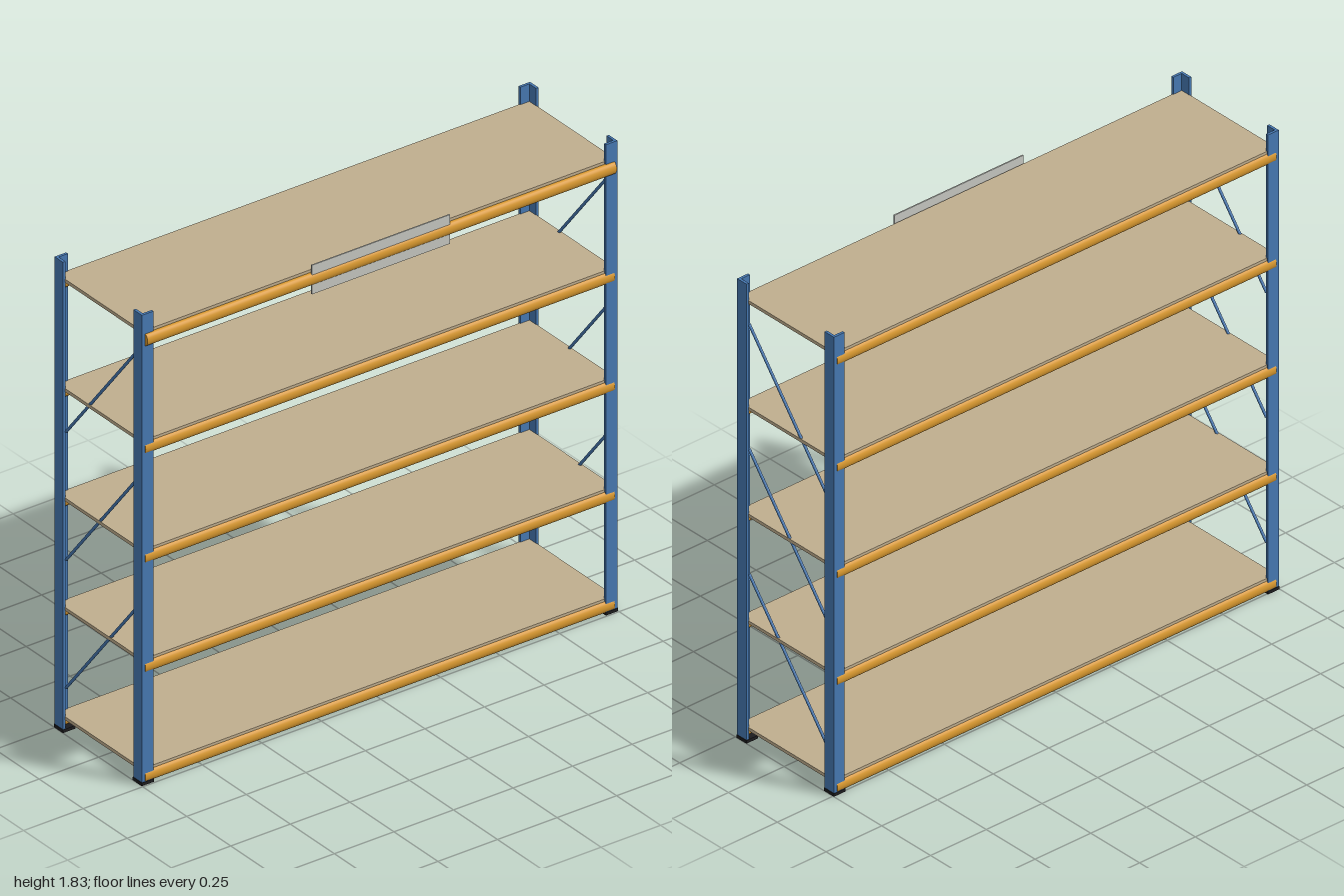
import * as THREE from 'three';

export function createModel() {
  const group = new THREE.Group();
  group.name = 'shelvingRack';

  const mat = (name, color, side = THREE.FrontSide) => {
    const m = new THREE.MeshStandardMaterial({ color, side });
    m.name = name;
    return m;
  };
  const blue = mat('blue steel', 0x4779b3);
  const orange = mat('orange steel', 0xd8982f);
  const board = mat('beige board', 0xc0ae8e);
  const grey = mat('grey sign', 0xc6c8c2);
  const black = mat('black plastic', 0x1c1c1e);

  const add = (name, geo, material, parent = group) => {
    const mesh = new THREE.Mesh(geo, material);
    mesh.name = name;
    parent.add(mesh);
    return mesh;
  };
  // Box given by its minimum and maximum on each axis
  const box = (name, [x0, x1], [y0, y1], [z0, z1], material, parent) => {
    const geo = new THREE.BoxGeometry(Math.abs(x1 - x0), y1 - y0, Math.abs(z1 - z0));
    geo.translate((x0 + x1) / 2, (y0 + y1) / 2, (z0 + z1) / 2);
    return add(name, geo, material, parent);
  };

  const HEIGHT = 1.83, MID_Z = -0.005, HALF_X = 0.998, HALF_Z = 0.248;
  const LEG = 0.048, THICK = 0.01;

  // Angle-section posts with feet, open toward the inside
  for (const sx of [-1, 1]) {
    for (const sz of [-1, 1]) {
      const post = new THREE.Group();
      post.name = (sz > 0 ? 'front' : 'back') + (sx > 0 ? 'Left' : 'Right') + 'Post';
      group.add(post);
      const x = sx * HALF_X, z = MID_Z + sz * HALF_Z;
      box('postSideFlange', [x, x - sx * THICK], [0.004, HEIGHT], [z, z - sz * LEG], blue, post);
      box('postFaceFlange', [x - sx * THICK, x - sx * LEG], [0.004, HEIGHT], [z, z - sz * THICK], blue, post);
      box('foot', [sx, sx * 0.948], [0, 0.012], [z + sz * 0.002, z - sz * 0.05], black, post);
    }
  }

  // Shelf boards, each carried by a front and a back beam
  const LEVELS = 5, STEP = 0.4255;
  const beamGeo = new THREE.CylinderGeometry(1, 1, 1.97, 24);
  beamGeo.rotateZ(Math.PI / 2);
  beamGeo.scale(1, 0.023, 0.016);
  for (let i = 0; i < LEVELS; i++) {
    const y = i * STEP;
    box('shelfBoard', [-0.99, 0.99], [y + 0.047, y + 0.06], [-0.247, 0.236], board);
    // The top front beam sits further out
    const frontZ = i === LEVELS - 1 ? 0.242 : 0.231;
    add('frontBeam', beamGeo, orange).position.set(0, y + 0.028, frontZ);
    add('backBeam', beamGeo, orange).position.set(0, y + 0.028, -0.241);
  }

  // Diagonal braces at both ends, high at the front and low at the back
  const up = new THREE.Vector3(0, 1, 0);
  for (const x of [-0.984, 0.984]) {
    for (let i = 0; i < 3; i++) {
      const low = new THREE.Vector3(x, 0.17 + i * 0.498, -0.206);
      const high = new THREE.Vector3(x, 0.17 + (i + 1) * 0.498, 0.197);
      const dir = high.clone().sub(low);
      const rod = add('diagonalBrace', new THREE.CylinderGeometry(0.0055, 0.0055, dir.length(), 10), blue);
      rod.position.copy(low).add(high).multiplyScalar(0.5);
      rod.quaternion.setFromUnitVectors(up, dir.normalize());
    }
  }

  // Blank sign plate on the top front beam
  box('signPlate', [-0.29, 0.29], [1.674, 1.787], [0.246, 0.251], grey);

  return group;
}
